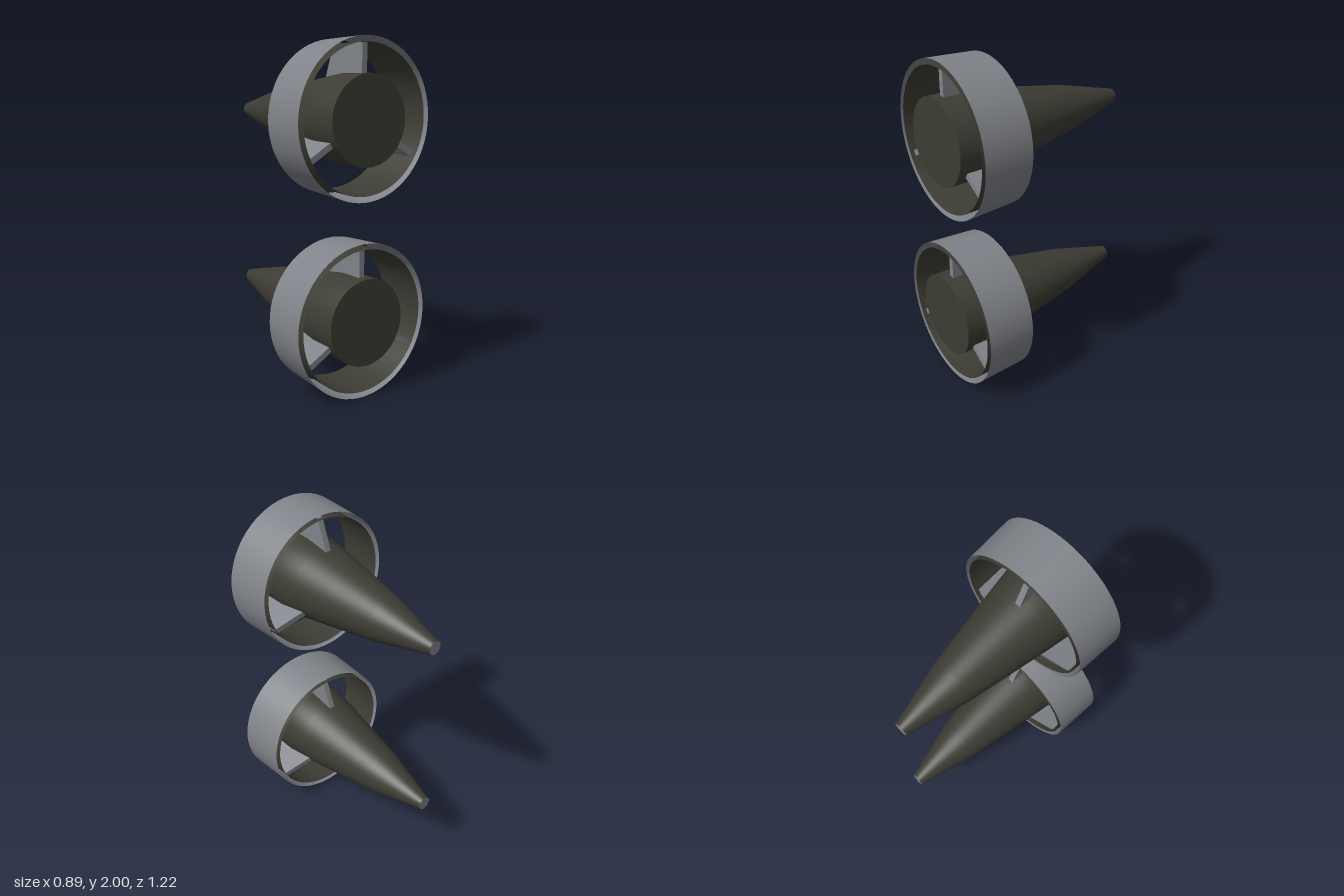
import * as THREE from 'three';

const SEGMENTS = 64;

export function createModel() {
  const dark = new THREE.MeshStandardMaterial({ color: 0x3d3c34, side: THREE.DoubleSide });
  dark.name = 'dark olive';
  const grey = new THREE.MeshStandardMaterial({ color: 0x808389, side: THREE.DoubleSide });
  grey.name = 'steel grey';

  // Surface of revolution about z from [radius, z] pairs, listed back to front
  const revolve = (profile) => new THREE.LatheGeometry(
    profile.map(([r, z]) => new THREE.Vector2(r, z)), SEGMENTS).rotateX(Math.PI / 2);

  const add = (parent, name, geometry, material) => {
    const mesh = new THREE.Mesh(geometry, material);
    mesh.name = name;
    parent.add(mesh);
    return mesh;
  };

  // Tapered body with its end discs
  const bodyGeo = revolve([[0.04, -0.61], [0.137, -0.24], [0.228, 0.285], [0.247, 0.41], [0.249, 0.61]]);
  const frontGeo = new THREE.CircleGeometry(0.249, SEGMENTS).translate(0, 0, 0.61);
  const tailGeo = new THREE.CircleGeometry(0.04, SEGMENTS).rotateY(Math.PI).translate(0, 0, -0.61);

  // Ring made of two open shells
  const outerGeo = revolve([[0.428, 0.285], [0.443, 0.585]]);
  const innerGeo = revolve([[0.4, 0.285], [0.41, 0.585]]);

  // Strut outline in (z, radius), with a swept trailing edge
  const outline = new THREE.Shape([[0.56, 0.2], [0.56, 0.407], [0.31, 0.402], [0.235, 0.2]]
    .map(([z, r]) => new THREE.Vector2(z, r)));
  const strutGeo = new THREE.ExtrudeGeometry(outline, { depth: 0.034, bevelEnabled: false })
    .translate(0, 0, -0.017).rotateY(-Math.PI / 2);

  const model = new THREE.Group();
  model.name = 'twinDuctedPods';
  for (const [name, y] of [['lowerPod', 0.443], ['upperPod', 1.557]]) {
    const pod = new THREE.Group();
    pod.name = name;
    pod.position.y = y;
    add(pod, 'body', bodyGeo, dark);
    add(pod, 'frontDisc', frontGeo, dark);
    add(pod, 'tailCap', tailGeo, grey);
    add(pod, 'ringOuterShell', outerGeo, grey);
    add(pod, 'ringInnerShell', innerGeo, dark);
    for (let i = 0; i < 3; i++) {
      add(pod, 'strut', strutGeo, grey).rotation.z = i * Math.PI * 2 / 3;
    }
    model.add(pod);
  }
  return model;
}
